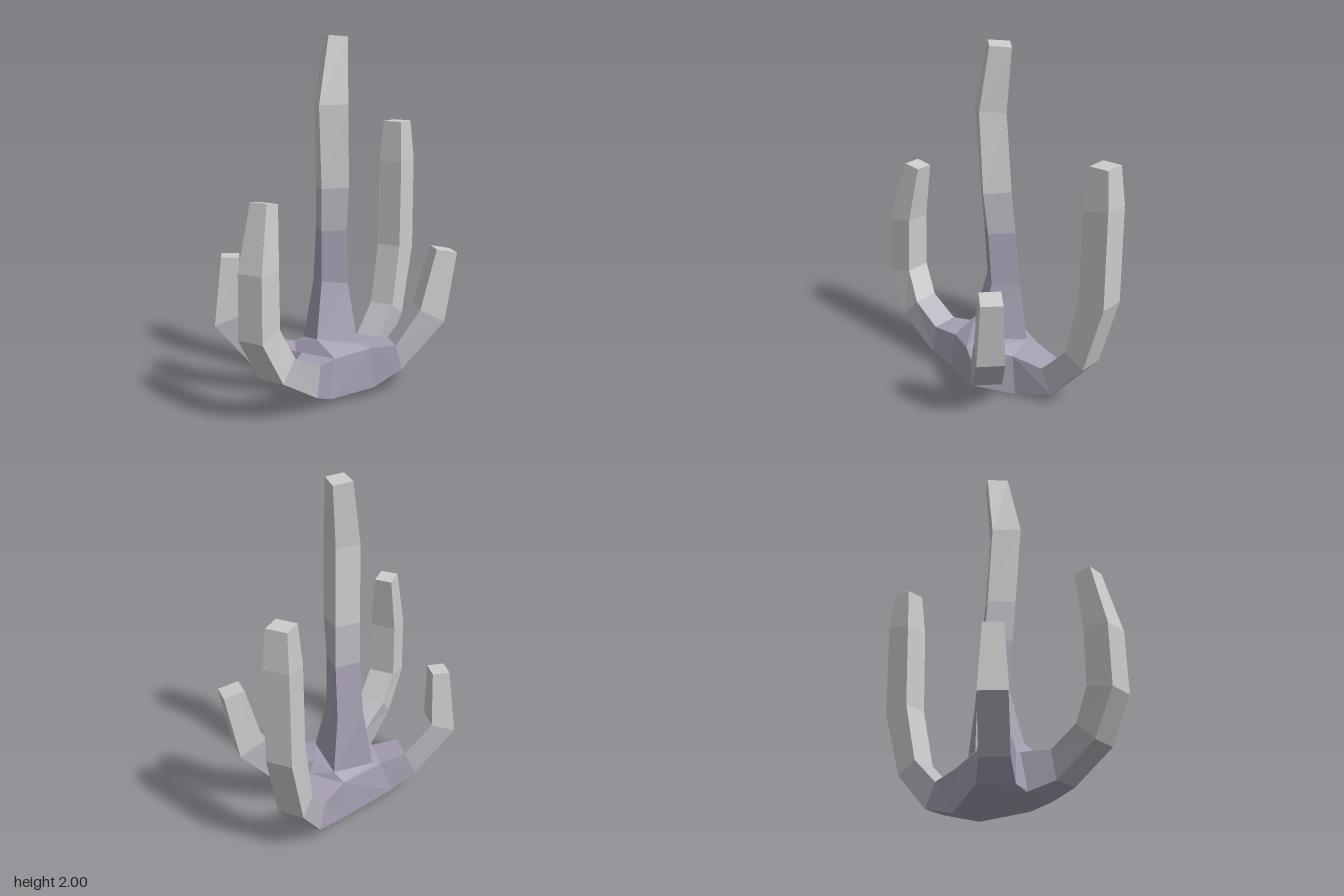
import * as THREE from 'three';
import { ConvexGeometry } from 'three/addons/geometries/ConvexGeometry.js';

const makeMaterial = (color) =>
  new THREE.MeshStandardMaterial({ color, flatShading: true });

// Four-sided limb skin through a list of rings, optionally closed at the tip
function limbGeometry(rings, capped) {
  const pos = [];
  const tri = (...pts) => pts.forEach((p) => pos.push(p.x, p.y, p.z));
  for (let k = 0; k < rings.length - 1; k++) {
    const a = rings[k], b = rings[k + 1];
    for (let i = 0; i < 4; i++) {
      const j = (i + 1) % 4;
      tri(a[i], a[j], b[j]);
      tri(a[i], b[j], b[i]);
    }
  }
  if (capped) {
    const t = rings[rings.length - 1];
    tri(t[0], t[1], t[2]);
    tri(t[0], t[2], t[3]);
  }
  const g = new THREE.BufferGeometry();
  g.setAttribute('position', new THREE.Float32BufferAttribute(pos, 3));
  g.computeVertexNormals();
  return g;
}

// Arm rings from [outer reach, outer y, inner reach, inner y, half width, side shift]
function armRings({ origin: [ox, oz], dir: [dx, dz], sections }) {
  const at = (r, y, s) => new THREE.Vector3(ox + dx * r + dz * s, y, oz + dz * r - dx * s);
  return sections.map(([ro, yo, ri, yi, w, shift = 0]) => [
    at(ro, yo, shift + w), at(ri, yi, shift + w),
    at(ri, yi, shift - w), at(ro, yo, shift - w),
  ]);
}

const ARMS = {
  backArm: {
    origin: [0, 0], dir: [0, -1],
    sections: [
      [0.22, 0, 0.2, 0.24, 0.11], [0.45, 0.07, 0.38, 0.21, 0.075],
      [0.66, 0.3, 0.54, 0.37, 0.075], [0.78, 0.7, 0.62, 0.72, 0.075],
      [0.785, 1.25, 0.63, 1.23, 0.075], [0.765, 1.47, 0.65, 1.47, 0.06],
    ],
  },
  frontArm: {
    origin: [0, 0], dir: [0, 1],
    sections: [
      [0.25, 0.03, 0.21, 0.25, 0.11, 0.03], [0.39, 0.08, 0.36, 0.25, 0.08, 0.065],
      [0.655, 0.23, 0.545, 0.34, 0.078, 0.03], [0.79, 0.47, 0.635, 0.51, 0.077],
      [0.78, 0.82, 0.63, 0.83, 0.075, -0.005], [0.68, 1.175, 0.58, 1.16, 0.052, -0.02],
    ],
  },
  rightArm: {
    origin: [0, 0], dir: [-0.8, 0.6],
    sections: [
      [0.29, 0.05, 0.22, 0.25, 0.1], [0.44, 0.14, 0.37, 0.28, 0.08],
      [0.67, 0.4, 0.53, 0.455, 0.077], [0.63, 0.785, 0.53, 0.785, 0.055],
    ],
  },
  leftArm: {
    origin: [0.065, 0.07], dir: [0.7, -0.71],
    sections: [
      [0.19, 0.05, 0.17, 0.28, 0.1], [0.357, 0.14, 0.32, 0.28, 0.085],
      [0.607, 0.4, 0.464, 0.475, 0.077], [0.68, 0.79, 0.56, 0.815, 0.06],
    ],
  },
};

// Trunk rings: right, front, left and back corner of each diamond section
const TRUNK = [
  [[-0.2, 0.27, 0.01], [0, 0.33, 0.175], [0.17, 0.3, 0.02], [-0.04, 0.28, -0.18]],
  [[-0.15, 0.62, -0.02], [-0.02, 0.64, 0.095], [0.08, 0.62, -0.02], [-0.04, 0.61, -0.13]],
  [[-0.12, 0.93, 0], [-0.01, 0.93, 0.11], [0.085, 0.93, 0], [-0.02, 0.93, -0.11]],
  [[-0.11, 1.17, 0.015], [0, 1.17, 0.125], [0.108, 1.17, 0.015], [-0.01, 1.17, -0.09]],
  [[-0.1, 1.62, 0.04], [0.008, 1.63, 0.16], [0.115, 1.63, 0.035], [0, 1.62, -0.06]],
  [[-0.08, 1.99, -0.015], [0.008, 2, 0.065], [0.083, 1.99, -0.01], [0, 1.98, -0.095]],
].map((ring) => ring.map((p) => new THREE.Vector3(...p)));

export function createModel() {
  const model = new THREE.Group();
  model.name = 'branchingStalk';
  const purple = makeMaterial(0xa59fb2);
  const blend = makeMaterial(0xb9b6bf);
  const grey = makeMaterial(0xcccccc);

  // Each limb runs from a purple root through a blend to a grey tip
  function addLimb(name, rings, rootCount) {
    const limb = new THREE.Group();
    limb.name = name;
    const add = (part, slice, material, capped) => {
      const mesh = new THREE.Mesh(limbGeometry(slice, capped), material);
      mesh.name = part;
      limb.add(mesh);
    };
    add('root', rings.slice(0, rootCount + 1), purple, false);
    add('middle', rings.slice(rootCount, rootCount + 2), blend, false);
    add('tip', rings.slice(rootCount + 1), grey, true);
    model.add(limb);
  }

  // Trunk and arms
  const hubPoints = [...TRUNK[0]];
  addLimb('trunk', TRUNK, 2);
  for (const [name, spec] of Object.entries(ARMS)) {
    const rings = armRings(spec);
    hubPoints.push(...rings[0]);
    addLimb(name, rings, 1);
  }

  // Hub joining all the limb roots
  const hub = new THREE.Mesh(new ConvexGeometry(hubPoints), purple);
  hub.name = 'hub';
  model.add(hub);
  return model;
}
